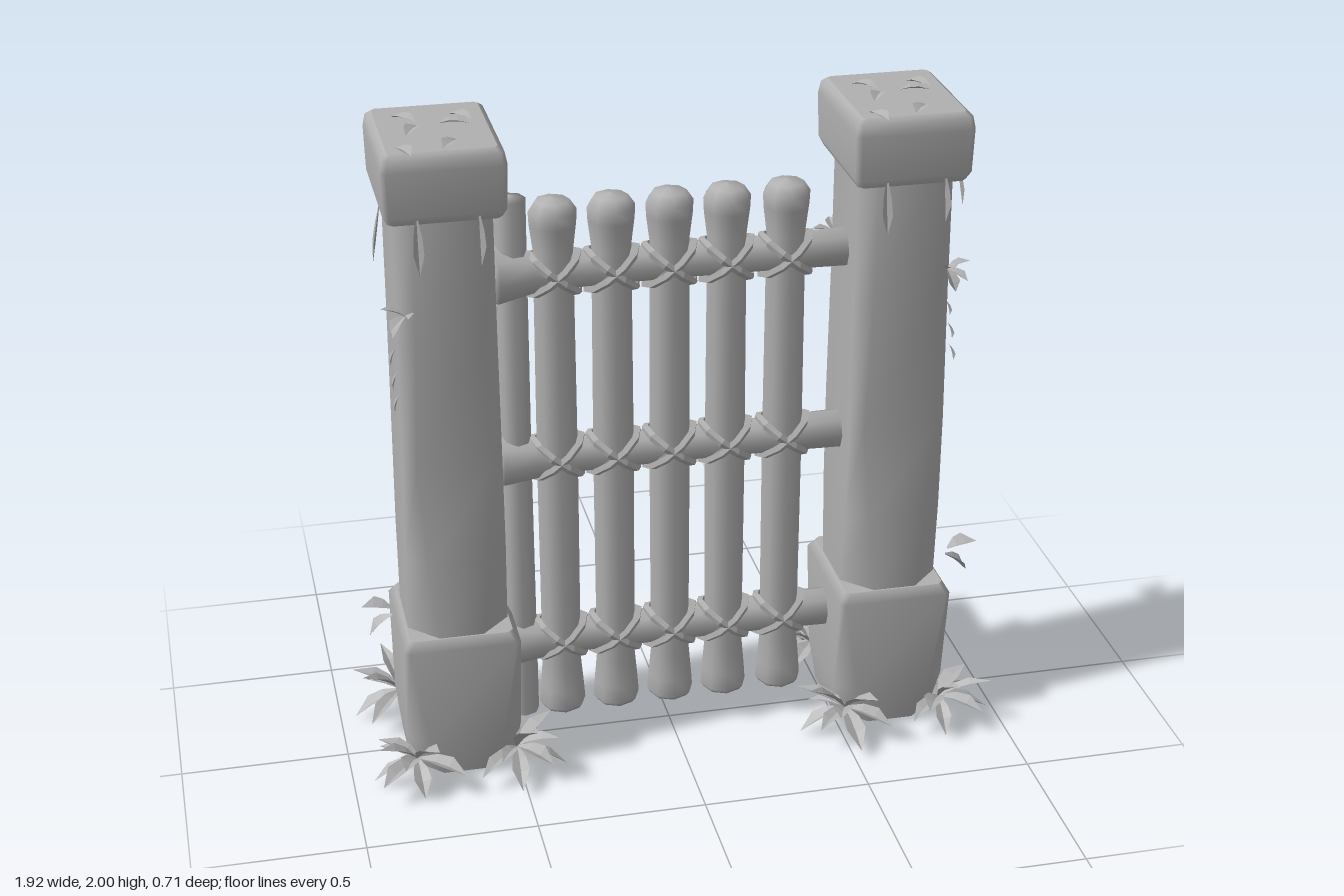
import * as THREE from 'three';
import { mergeGeometries } from 'three/addons/utils/BufferGeometryUtils.js';

const stone = new THREE.MeshStandardMaterial({ color: 0xb0b0b0, side: THREE.DoubleSide });
stone.name = 'plain grey';
const leafGrey = stone.clone();
leafGrey.flatShading = true;
leafGrey.name = 'plain grey faceted';

let seed = 7;
const rnd = (a, b) => {
  seed = (seed * 16807) % 2147483647;
  return a + (b - a) * seed / 2147483647;
};

function add(parent, name, geo, mat = stone) {
  const m = new THREE.Mesh(geo, mat);
  m.name = name;
  parent.add(m);
  return m;
}

// Loft through chamfered rectangles: [y, half width, half depth, chamfer]
function loft(sections) {
  const pos = [], idx = [];
  const ring = ([y, w, d, c]) => [
    [w, -d + c], [w, d - c], [w - c, d], [-w + c, d],
    [-w, d - c], [-w, -d + c], [-w + c, -d], [w - c, -d]
  ].map(([x, z]) => [x, y, z]);
  sections.forEach(s => pos.push(...ring(s).flat()));
  for (let i = 0; i < sections.length - 1; i++) {
    for (let j = 0; j < 8; j++) {
      const a = i * 8 + j, b = i * 8 + (j + 1) % 8;
      idx.push(a, a + 8, b, b, a + 8, b + 8);
    }
  }
  // separate end faces keep their rims sharp
  [sections[0], sections[sections.length - 1]].forEach((s, top) => {
    const o = pos.length / 3;
    pos.push(...ring(s).flat());
    for (let j = 1; j < 7; j++) idx.push(o, o + (top ? j + 1 : j), o + (top ? j : j + 1));
  });
  const g = new THREE.BufferGeometry();
  g.setAttribute('position', new THREE.Float32BufferAttribute(pos, 3));
  g.setIndex(idx);
  g.computeVertexNormals();
  return g;
}

// Folded, drooping leaf growing along +y
function leafGeometry(len, width, bend) {
  const rows = [[0, 0.15], [0.35, 0.8], [0.65, 1], [1, 0.04]];
  const pos = [], idx = [];
  rows.forEach(([t, w]) => {
    const z = -bend * t * t, h = width * w / 2;
    pos.push(-h, t * len, z + h * 0.5, 0, t * len, z, h, t * len, z + h * 0.5);
  });
  for (let i = 0; i < 3; i++) {
    for (let j = 0; j < 2; j++) {
      const a = i * 3 + j;
      idx.push(a, a + 1, a + 3, a + 1, a + 4, a + 3);
    }
  }
  const g = new THREE.BufferGeometry();
  g.setAttribute('position', new THREE.Float32BufferAttribute(pos, 3));
  g.setIndex(idx);
  g.computeVertexNormals();
  return g;
}

// Leaf at a point, pointing by azimuth and elevation
function leaf(p, az, el, len, width, bend) {
  const y = new THREE.Vector3(Math.cos(az) * Math.cos(el), Math.sin(el), Math.sin(az) * Math.cos(el));
  const x = new THREE.Vector3(-Math.sin(az), 0, Math.cos(az));
  const z = new THREE.Vector3().crossVectors(x, y);
  const m = new THREE.Matrix4().makeBasis(x, y, z).setPosition(...p);
  return leafGeometry(len, width, bend).applyMatrix4(m);
}

function pillar(side) {
  const g = new THREE.Group();
  g.name = side < 0 ? 'rightPillar' : 'leftPillar';
  add(g, 'pillarBase', loft([
    [0, 0.16, 0.19, 0.09], [0.12, 0.172, 0.204, 0.06],
    [0.43, 0.172, 0.205, 0.015], [0.46, 0.152, 0.185, 0.015]]));
  add(g, 'pillarShaft', loft([
    [0.44, 0.148, 0.18, 0.085], [0.7, 0.147, 0.176, 0.06], [1.0, 0.143, 0.166, 0.035],
    [1.4, 0.141, 0.167, 0.045], [1.79, 0.14, 0.17, 0.05]]));
  add(g, 'pillarCap', loft([
    [1.765, 0.158, 0.195, 0.015], [1.79, 0.17, 0.208, 0.015],
    [1.92, 0.173, 0.213, 0.015], [1.955, 0.166, 0.206, 0.012], [1.968, 0.15, 0.19, 0.01]]));

  // leafy clumps on the four base corners
  const clumps = [];
  for (const sx of [-1, 1]) for (const sz of [-1, 1]) {
    const out = Math.atan2(sz, sx);
    const p = [sx * 0.15, 0.07, sz * 0.2];
    for (let i = 0; i < 9; i++) {
      const az = out + (i - 4) * 0.42;
      const el = [0.15, 0.9, -0.2, 0.6][i % 4] + rnd(-0.1, 0.1);
      clumps.push(leaf(p, az, el, rnd(0.12, 0.17), rnd(0.045, 0.065), 0.04));
    }
  }
  add(g, 'baseLeaves', mergeGeometries(clumps), leafGrey);

  // sprigs and trailing leaves on the outer side
  const sprigs = [];
  const o = side > 0 ? 0 : Math.PI;
  sprigs.push(leaf([side * 0.19, 0.53, 0.1], o, 0.4, 0.09, 0.07, 0.02));
  sprigs.push(leaf([side * 0.19, 0.5, 0.08], o, -0.5, 0.09, 0.06, 0.02));
  for (const sz of [-1, 1]) {
    const corner = [side * sz * 0.12, 1.49, sz * 0.17];
    for (const [da, el] of [[-0.8, 0.4], [0, -0.2], [0.8, 0.5], [0.4, -0.8]]) {
      sprigs.push(leaf(corner, Math.atan2(sz, side * sz) + da, el, 0.07, 0.04, 0.01));
    }
  }
  for (const [y, z] of [[1.36, 0.1], [1.3, 0.13], [1.24, 0.15]]) {
    sprigs.push(leaf([side * 0.145, y, z], o, -1.1, 0.05, 0.025, 0.01));
  }
  add(g, 'sideLeaves', mergeGeometries(sprigs), leafGrey);

  // leaves hanging below the cap and lying on it
  const capLeaves = [];
  for (const [x, z, az] of [[-0.08, 0.2, 1.57], [0.09, 0.2, 1.57], [-0.09, -0.2, -1.57], [0.08, -0.2, -1.57], [side * 0.165, 0.08, o]]) {
    capLeaves.push(leaf([x, 1.79, z], az, -1.45, rnd(0.12, 0.18), 0.03, -0.005));
  }
  for (const [x, z, a] of [[-0.1, -0.1, 0.8], [0.02, -0.02, 0.2], [0.05, 0.12, 2.2], [-0.08, 0.06, 5.2], [0.11, -0.03, 4.0], [-0.12, 0.15, 1.2]]) {
    capLeaves.push(leaf([x, 1.972, z], a, 0.25, 0.08, 0.045, 0.02));
  }
  add(g, 'capLeaves', mergeGeometries(capLeaves), leafGrey);
  g.position.x = side * 0.66;
  return g;
}

function lathe(points, sides) {
  return new THREE.LatheGeometry(points.map(([r, y]) => new THREE.Vector2(r, y)), sides);
}

function gate() {
  const g = new THREE.Group();
  g.name = 'gate';
  const slats = [-0.335, -0.167, 0.002, 0.17, 0.345];
  const rails = [0.32, 0.93, 1.51];

  // upright slats with flared, rounded ends
  const slatGeo = lathe([[0, 0.08], [0.06, 0.08], [0.071, 0.095], [0.067, 0.15], [0.059, 0.24], [0.061, 0.9],
    [0.058, 1.58], [0.068, 1.66], [0.07, 1.7], [0.05, 1.73], [0, 1.74]], 8);
  slats.forEach(x => { add(g, 'slat', slatGeo).position.set(x, 0, 0.002); });

  // hinge post beside the pillar
  add(g, 'hingePost', lathe([[0, 0.06], [0.048, 0.07], [0.045, 0.9], [0.047, 1.74], [0, 1.75]], 8))
    .position.set(-0.455, 0, -0.01);

  // rails, thicker at the hinged end
  rails.forEach((y, i) => {
    const r = i === 2 ? 0.088 : 0.078;
    const m = add(g, 'rail', lathe([[0, -0.52], [r - 0.01, -0.52], [r, -0.5], [0.064, -0.4], [0.056, -0.25],
      [0.054, 0], [0.056, 0.3], [0.06, 0.52], [0, 0.52]], 8));
    m.rotation.z = -Math.PI / 2;
    m.position.y = y + (i === 2 ? 0.005 : 0);
  });

  // crossed lashings around every joint
  const loop = new THREE.TorusGeometry(1, 0.13, 4, 10);
  loop.rotateX(Math.PI / 2);
  loop.scale(0.094, 0.1, 0.068);
  slats.forEach(x => rails.forEach(y => {
    for (const s of [-1, 1]) {
      const m = add(g, 'lashing', loop, leafGrey);
      m.position.set(x, y, 0);
      m.rotation.z = s * 0.68;
    }
  }));
  return g;
}

export function createModel() {
  const model = new THREE.Group();
  model.name = 'gateway';
  model.add(pillar(-1), pillar(1), gate());
  return model;
}
